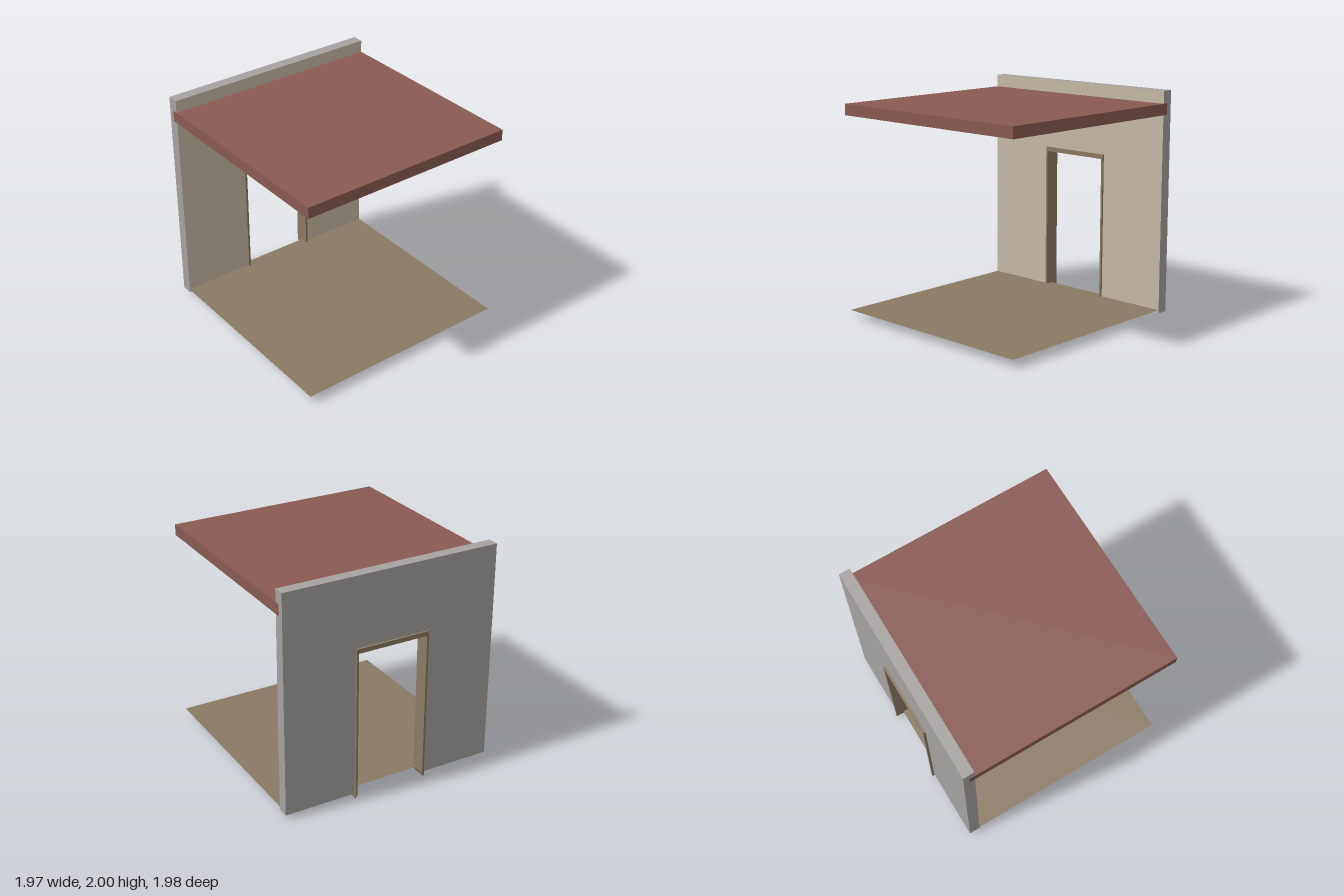
import * as THREE from 'three';

const W = 0.983;                      // half width of wall, roof and floor
const BACK = -0.97, FACE = -0.87;     // wall depth range
const BASE = 0.04, TOP = 2;           // wall height range

function material(name, color, side = THREE.FrontSide) {
  const m = new THREE.MeshStandardMaterial({ color, side });
  m.name = name;
  return m;
}

function polygon(points) {
  return new THREE.Shape(points.map(([x, y]) => new THREE.Vector2(x, y)));
}

export function createModel() {
  const group = new THREE.Group();
  const cream = material('cream plaster', 0xc6baa6, THREE.DoubleSide);
  const grey = material('grey wall', 0xa5a2a1, THREE.DoubleSide);
  const red = material('red roof', 0x8a5a53);
  const brown = material('brown wood', 0x8a7a63, THREE.DoubleSide);

  function add(name, geometry, mat, x = 0, y = 0, z = 0) {
    const mesh = new THREE.Mesh(geometry, mat);
    mesh.name = name;
    mesh.position.set(x, y, z);
    group.add(mesh);
    return mesh;
  }

  // Wall: a hollow shell, open underneath, with a doorway
  const wallShape = polygon([
    [-W, BASE], [-0.33, BASE], [-0.33, 1.36], [0.33, 1.36],
    [0.33, BASE], [W, BASE], [W, TOP], [-W, TOP],
  ]);
  const panel = new THREE.ShapeGeometry(wallShape);
  add('wallInnerFace', panel, cream, 0, 0, FACE);
  add('wallOuterFace', panel.clone().rotateY(Math.PI), grey, 0, 0, BACK);

  const depth = FACE - BACK, midZ = (FACE + BACK) / 2;
  add('wallTop', new THREE.PlaneGeometry(2 * W, depth).rotateX(-Math.PI / 2), grey, 0, TOP, midZ);
  for (const s of [-1, 1]) {
    const end = new THREE.PlaneGeometry(depth, TOP - BASE).rotateY(s * Math.PI / 2);
    add(s > 0 ? 'wallLeftEnd' : 'wallRightEnd', end, grey, s * W, (TOP + BASE) / 2, midZ);
  }

  // Door frame: mitred jambs and lintel, slanted at the feet
  const frameShape = polygon([
    [-0.338, 0], [-0.32, BASE], [-0.32, 1.34], [0.32, 1.34],
    [0.32, BASE], [0.338, 0], [0.338, 1.38], [-0.338, 1.38],
  ]);
  add('doorFrame', new THREE.ExtrudeGeometry(frameShape, { depth: 0.135, bevelEnabled: false }),
    brown, 0, 0, -0.99);

  // Roof slab, let into the wall
  const reach = 0.99 + 0.92, slabZ = (0.99 - 0.92) / 2;
  add('roof', new THREE.BoxGeometry(2 * W + 0.001, 0.098, reach), red, 0, 1.841, slabZ);

  // Floor sheet
  add('floor', new THREE.PlaneGeometry(2 * W, reach).rotateX(-Math.PI / 2), brown, 0, 0.07, slabZ);

  return group;
}
